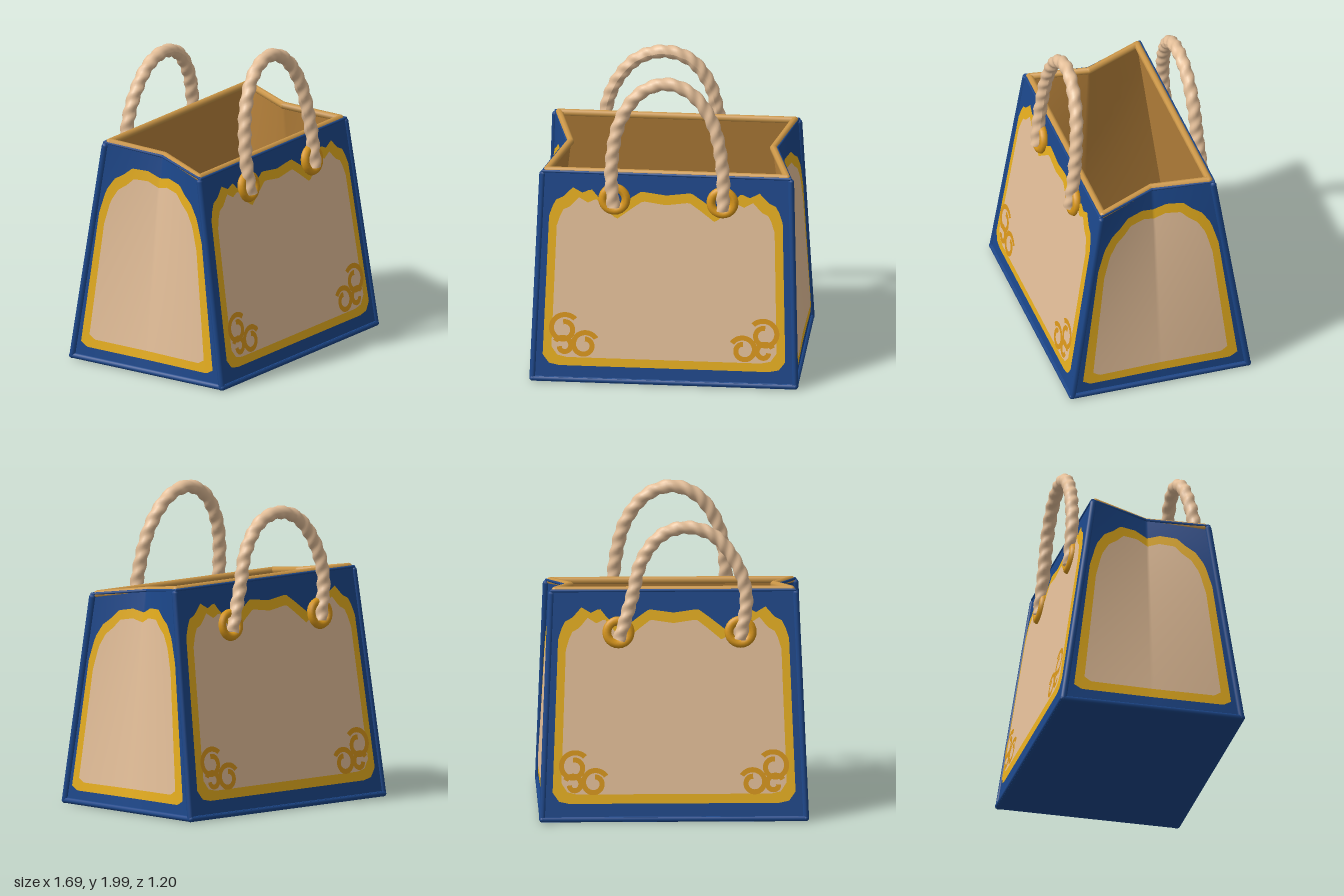
import * as THREE from 'three';

const mat = (name, color) => {
  const m = new THREE.MeshStandardMaterial({ color, side: THREE.DoubleSide });
  m.name = name;
  return m;
};
const lerp = THREE.MathUtils.lerp;

// Piecewise linear profile through [t, value] pairs
const profile = (pts) => (t) => {
  const a = Math.abs(t);
  for (let i = 1; i < pts.length; i++) {
    if (a <= pts[i][0]) return lerp(pts[i - 1][1], pts[i][1], (a - pts[i - 1][0]) / (pts[i][0] - pts[i - 1][0]));
  }
  return pts[pts.length - 1][1];
};

// Wall surfaces: u runs -1..1 across, v runs 0..1 upward, d is the outward offset
const frontWall = (u, v, d) => new THREE.Vector3(u * lerp(0.825, 0.78, v), 0.03 + 1.32 * v, lerp(0.585, 0.38, v) + d);
const backWall = (u, v, d) => new THREE.Vector3(u * lerp(0.825, 0.765, v), 0.03 + 1.42 * v, -lerp(0.585, 0.375, v) - d);
const gusset = (s) => (u, v, d) => new THREE.Vector3(
  s * (lerp(0.825, 0.773, v) - 0.11 * v * (1 - Math.abs(u)) + d),
  0.03 + (1.37 - 0.05 * u) * v,
  u * lerp(0.585, 0.378, v));

export function createModel() {
  const bag = new THREE.Group();
  bag.name = 'handbag';
  const blue = mat('blue leather', 0x1c478a);
  const yellow = mat('yellow trim', 0xe6ae1e);
  const beige = mat('beige canvas', 0xe4bf99);
  const lining = mat('tan lining', 0xba843c);
  const binding = mat('light tan binding', 0xcb9647);
  const gold = mat('gold fittings', 0xd8961a);

  const add = (name, geo, material) => {
    const m = new THREE.Mesh(geo, material);
    m.name = name;
    bag.add(m);
    return m;
  };

  // Sheet on a surface between a lower and an upper outline
  const sheet = (map, U, lo, hi, d, nv = 12) => {
    const nu = 72, pos = [], idx = [];
    for (let i = 0; i <= nu; i++) {
      const u = lerp(-U, U, i / nu);
      for (let j = 0; j <= nv; j++) pos.push(...map(u, lerp(lo(u), hi(u), j / nv), d).toArray());
    }
    for (let i = 0; i < nu; i++) for (let j = 0; j < nv; j++) {
      const a = i * (nv + 1) + j, b = a + nv + 1;
      idx.push(a, b, b + 1, a, b + 1, a + 1);
    }
    const g = new THREE.BufferGeometry();
    g.setAttribute('position', new THREE.Float32BufferAttribute(pos, 3));
    g.setIndex(idx);
    g.computeVertexNormals();
    return g;
  };

  // Straight rounded piping between two points
  const rod = (name, a, b, r, material) => {
    const m = add(name, new THREE.CapsuleGeometry(r, a.distanceTo(b), 3, 8), material);
    m.position.copy(a).add(b).multiplyScalar(0.5);
    m.quaternion.setFromUnitVectors(new THREE.Vector3(0, 1, 0), b.clone().sub(a).normalize());
  };

  // Walls: blue shell, yellow border, beige field and lining
  const wideTop = profile([[0, 0.905], [0.2, 0.92], [0.29, 0.885], [0.42, 0.83], [0.54, 0.885],
    [0.6, 0.925], [0.67, 0.905], [0.75, 0.93], [0.82, 0.885], [0.89, 0.865], [0.93, 0.79]]);
  const wideLow = profile([[0, 0.07], [0.8, 0.07], [0.88, 0.08], [0.93, 0.12]]);
  const sideTop = profile([[0, 0.9], [0.2, 0.92], [0.46, 0.915], [0.58, 0.88], [0.72, 0.85],
    [0.83, 0.79], [0.89, 0.68]]);
  const sideLow = profile([[0, 0.055], [0.8, 0.055], [0.89, 0.075]]);
  const walls = [
    ['front', frontWall, 0.93, 0.865, wideTop, wideLow],
    ['back', backWall, 0.93, 0.865, wideTop, wideLow],
    ['leftSide', gusset(1), 0.89, 0.785, sideTop, sideLow],
    ['rightSide', gusset(-1), 0.89, 0.785, sideTop, sideLow],
  ];
  const zero = () => 0, one = () => 1;
  for (const [name, map, U, inner, top, low] of walls) {
    const k = U / inner;
    add(name + 'Shell', sheet(map, 1, zero, one, 0), blue);
    add(name + 'Border', sheet(map, U, low, top, 0.008), yellow);
    add(name + 'Field', sheet(map, inner, (u) => low(u * k) + 0.042, (u) => top(u * k) - 0.045, 0.014), beige);
    add(name + 'Lining', sheet(map, 0.96, () => 0.02, () => 0.995, -0.03), lining);
  }

  // Base and inner floor
  const base = add('base', new THREE.BoxGeometry(1.66, 0.03, 1.18), blue);
  base.position.y = 0.03;
  const floor = add('floorLining', new THREE.BoxGeometry(1.58, 0.01, 1.1), lining);
  floor.position.y = 0.06;

  // Corner piping
  for (const s of [-1, 1]) {
    for (const map of [frontWall, backWall]) rod('cornerPiping', map(s, 0.0, -0.01), map(s, 0.985, -0.01), 0.02, blue);
    rod('bottomSidePiping', frontWall(s, 0, -0.005), backWall(s, 0, -0.005), 0.018, blue);
  }
  for (const map of [frontWall, backWall]) rod('bottomPiping', map(-1, 0, -0.005), map(1, 0, -0.005), 0.018, blue);

  // Rim: thin blue outer edge and wide tan binding round the opening
  const rim = (name, inset, r, material) => {
    const x = 1 - inset / 0.78;
    const pts = [frontWall(-x, 1, -inset), frontWall(x, 1, -inset), gusset(1)(0, 1, -inset),
      backWall(x, 1, -inset), backWall(-x, 1, -inset), gusset(-1)(0, 1, -inset)];
    pts.forEach((p, i) => rod(name, p, pts[(i + 1) % pts.length], r, material));
  };
  rim('outerRim', 0.002, 0.009, blue);
  rim('innerBinding', 0.026, 0.023, binding);

  // Twisted rope handle: a tube whose surface is ridged along a spiral
  const rope = (name, points) => {
    const curve = new THREE.CatmullRomCurve3(points.map((p) => new THREE.Vector3(...p)));
    const n = 150, m = 14, g = new THREE.TubeGeometry(curve, n, 0.041, m);
    const p = g.attributes.position, q = g.attributes.normal;
    for (let i = 0; i <= n; i++) for (let j = 0; j <= m; j++) {
      const k = i * (m + 1) + j;
      const w = 0.004 * Math.sin((j / m) * Math.PI * 4 + (i / n) * Math.PI * 40);
      p.setXYZ(k, p.getX(k) + q.getX(k) * w, p.getY(k) + q.getY(k) * w, p.getZ(k) + q.getZ(k) * w);
    }
    g.computeVertexNormals();
    add(name, g, beige);
  };
  const frontZ = (y) => 0.443 - 0.115 * (y - 1.15);
  rope('frontHandle', [[-0.33, 1.15], [-0.345, 1.4], [-0.295, 1.7], [-0.17, 1.89], [-0.01, 1.955],
    [0.15, 1.9], [0.285, 1.72], [0.355, 1.4], [0.36, 1.15]].map(([x, y]) => [x, y, frontZ(y)]));
  rope('backHandle', [[-0.42, 1.15], [-0.455, 1.42], [-0.39, 1.64], [-0.25, 1.81], [-0.08, 1.862],
    [0.08, 1.81], [0.2, 1.65], [0.26, 1.42], [0.34, 1.15]].map(([x, y]) => [x, y, -0.435 + 0.04 * (y - 1.15)]));

  // Gold rings holding the handle ends
  const ring = (x, y, z, tilt) => {
    const r = add('handleRing', new THREE.TorusGeometry(0.073, 0.028, 8, 24), gold);
    r.position.set(x, y, z);
    r.rotation.x = tilt;
  };
  for (const x of [-0.325, 0.355]) ring(x, 1.195, 0.422, -0.154);
  for (const x of [-0.42, 0.345]) ring(x, 1.195, -0.426, 0.147);

  // Flat scroll ribbons in the lower corners: [x, y, radius, start angle, turns]
  const scrolls = [[0.63, 0.36, 0.095, 2.4, -1.15], [0.5, 0.26, 0.085, 2.6, -1.15], [0.63, 0.25, 0.06, 0.5, 0.9]];
  for (const [wall, H] of [[frontWall, 1.32], [backWall, 1.42]]) for (const s of [-1, 1]) {
    for (const [cx, cy, r, start, turns] of scrolls) {
      const spiral = (u, w, d) => {
        const t = (u + 1) / 2, a = start + t * turns * Math.PI * 2;
        const rad = r * (1 - 0.55 * t) + (w - 0.5) * 0.032;
        const v = (cy + rad * Math.sin(a) - 0.03) / H;
        return wall((s * (cx + rad * Math.cos(a))) / lerp(0.825, 0.78, v), v, d);
      };
      add('cornerScroll', sheet(spiral, 1, zero, one, 0.02, 1), gold);
    }
  }
  return bag;
}
